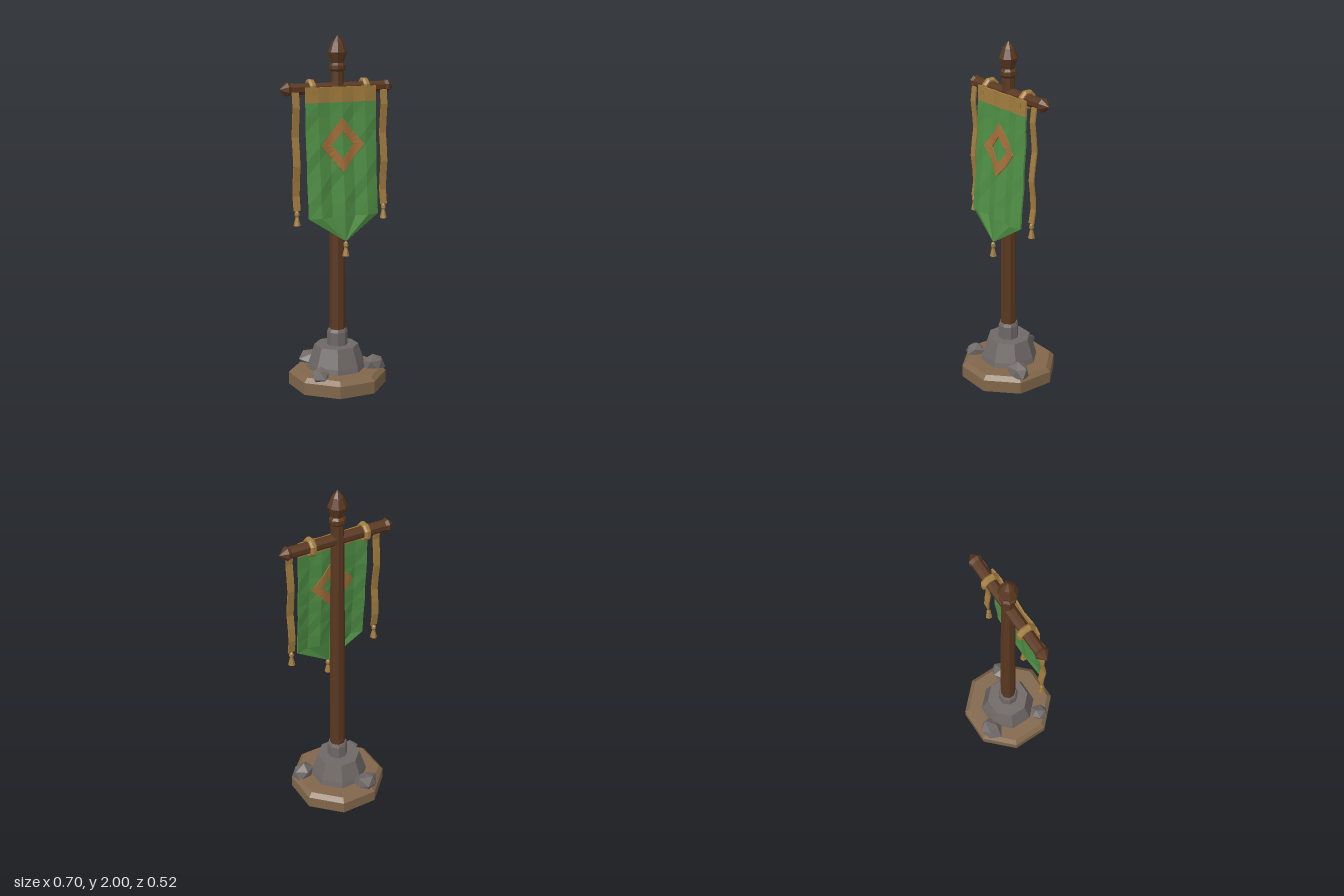
import * as THREE from 'three';

const mat = (name, color) => new THREE.MeshStandardMaterial({ name, color, flatShading: true });

export function createModel() {
  const wood = mat('dark wood', 0x5a3820);
  const plinth = mat('tan plinth', 0x80664a);
  const stone = mat('grey stone', 0x6e6866);
  const gold = mat('old gold', 0xa27c3e);
  const green = mat('green cloth', 0x4f8f45);
  const orange = mat('orange emblem', 0xa5703a);

  const model = new THREE.Group();
  model.name = 'bannerStand';
  const add = (name, geometry, material) => {
    const mesh = new THREE.Mesh(geometry, material);
    mesh.name = name;
    model.add(mesh);
    return mesh;
  };

  // Octagonal turned shape; points are [flat-to-centre distance, height]
  const turned = (points) => new THREE.LatheGeometry(
    points.map(([r, y]) => new THREE.Vector2(r / Math.cos(Math.PI / 8), y)), 8).rotateY(Math.PI / 8);

  // Move every vertex by a rule
  const reshape = (geometry, rule) => {
    const p = geometry.attributes.position;
    for (let i = 0; i < p.count; i++) p.setXYZ(i, ...rule(p.getX(i), p.getY(i), p.getZ(i)));
    geometry.computeVertexNormals();
    return geometry;
  };

  // Foot
  add('plinth', turned([[0, 0], [0.26, 0], [0.26, 0.07], [0.236, 0.095], [0, 0.095]]), plinth);
  add('stoneMound', reshape(
    turned([[0, 0.09], [0.157, 0.09], [0.15, 0.125], [0.117, 0.235], [0, 0.235]]),
    (x, y, z) => [x - 0.004, y, z - 0.006]), stone);
  add('stoneCollar', turned([[0, 0.23], [0.055, 0.23], [0.055, 0.312], [0.048, 0.33], [0, 0.33]]), stone);

  // Loose rocks: x, z, centre height, radii, turn
  [
    [-0.088, -0.187, 0.105, 0.078, 0.055, 0.07, 0.4],
    [-0.165, 0.125, 0.105, 0.055, 0.052, 0.058, 1.3],
    [0.197, 0.078, 0.11, 0.07, 0.058, 0.056, 2.2],
  ].forEach(([x, z, y, rx, ry, rz, turn], i) => {
    const rock = reshape(new THREE.IcosahedronGeometry(1, 0).rotateX(turn).rotateY(turn * 2), (a, b, c) => {
      const k = 1 + 0.13 * Math.sin(a * 7 + b * 5 + c * 3 + i);
      return [a * k * rx, b * k * ry, c * k * rz];
    });
    add('rock', rock, stone).position.set(x, y, z);
  });

  // Pole and finial
  add('pole', turned([[0.043, 0.32], [0.04, 1.0], [0.033, 1.81]]), wood);
  add('finial', turned([[0, 1.79], [0.033, 1.8], [0.042, 1.812], [0.042, 1.835], [0.031, 1.848],
    [0.05, 1.905], [0.03, 1.96], [0, 2]]), wood);

  // Crossbar with pointed ends
  const barY = 1.71;
  add('crossbar', turned([[0, -0.35], [0.037, -0.307], [0.03, -0.288], [0.03, 0.288], [0.037, 0.307], [0, 0.35]])
    .rotateZ(-Math.PI / 2), wood).position.y = barY;

  // Banner hang: leans forward with vertical folds that deepen downwards
  const clothZ = (x, y) => {
    const t = Math.max(0, (1.72 - y) / 0.86);
    const fold = (0.003 + 0.007 * t) * Math.cos((x / 0.0717) * Math.PI);
    return 0.047 + 0.056 * Math.pow(t, 1.5) + fold * (t > 0.97 ? 0 : 1) - 0.02 * t * x;
  };
  const width = 0.43;
  add('bannerBand', reshape(new THREE.BoxGeometry(width, 0.085, 0.01, 6, 1, 1),
    (x, y, z) => [x, y + 1.6775, clothZ(x, y + 1.6775) + z]), gold);

  // Cloth: straight rows, then a last row gathered to a point
  const rows = 9;
  add('bannerCloth', reshape(new THREE.BoxGeometry(width, 1, 0.01, 6, rows, 1), (x, v, z) => {
    const k = Math.round((0.5 - v) * rows);
    if (k === rows) return [x * 0.03, 0.865, clothZ(0, 0.865) + z];
    const edge = k > 0 && k < rows - 1 ? 0.006 * Math.sin(k * 2.1 + x * 30) : 0;
    const y = 1.635 - 0.635 * k / (rows - 1);
    return [x, y, clothZ(x, y) + edge * 0.5 + z];
  }), green);

  // Diamond emblem: a strip wrapped round four corners, showing on both faces
  const corners = [[-1, 0], [0, 1], [1, 0], [0, -1], [-1, 0]];
  add('diamondEmblem', reshape(new THREE.BoxGeometry(4, 1, 0.0185, 24, 3, 1), (u, v, z) => {
    const s = u + 2, i = Math.min(3, Math.floor(s + 1e-6)), f = s - i;
    const size = 0.75 + 0.5 * v;
    const x = 0.132 * size * (corners[i][0] * (1 - f) + corners[i + 1][0] * f);
    const y = 1.4 + 0.152 * size * (corners[i][1] * (1 - f) + corners[i + 1][1] * f);
    return [x, y, clothZ(x, y) + z];
  }), orange);

  // Tassel hanging from its top point
  const tassel = (x, y, z) => {
    const profile = [[0, -0.09], [0.02, -0.088], [0.009, -0.04], [0.014, -0.028], [0.012, -0.012], [0, 0]];
    add('tassel', new THREE.LatheGeometry(profile.map(([r, h]) => new THREE.Vector2(r, h)), 6), gold)
      .position.set(x, y, z);
  };
  tassel(0, 0.865, 0.108);

  for (const side of [-1, 1]) {
    // Ring round the crossbar and its tab on the band
    add('ring', turned([[0.034, -0.018], [0.042, -0.018], [0.051, -0.008], [0.051, 0.008],
      [0.042, 0.018], [0.034, 0.018], [0.034, -0.018]]).rotateZ(-Math.PI / 2), gold)
      .position.set(side * 0.165, barY, 0);
    add('ringTab', new THREE.BoxGeometry(0.03, 0.03, 0.016), gold).position.set(side * 0.165, 1.69, 0.05);

    // Wavy side ribbon
    add('sideRibbon', reshape(new THREE.BoxGeometry(0.04, 0.65, 0.008, 1, 8, 1), (x, v, z) => {
      const t = 0.5 - v / 0.65;
      return [side * 0.27 + x, 1.695 - 0.65 * t, 0.034 + 0.01 * t + 0.009 * Math.sin(t * 13) + z];
    }), gold);
    tassel(side * 0.27, 1.05, 0.046);
  }
  return model;
}
